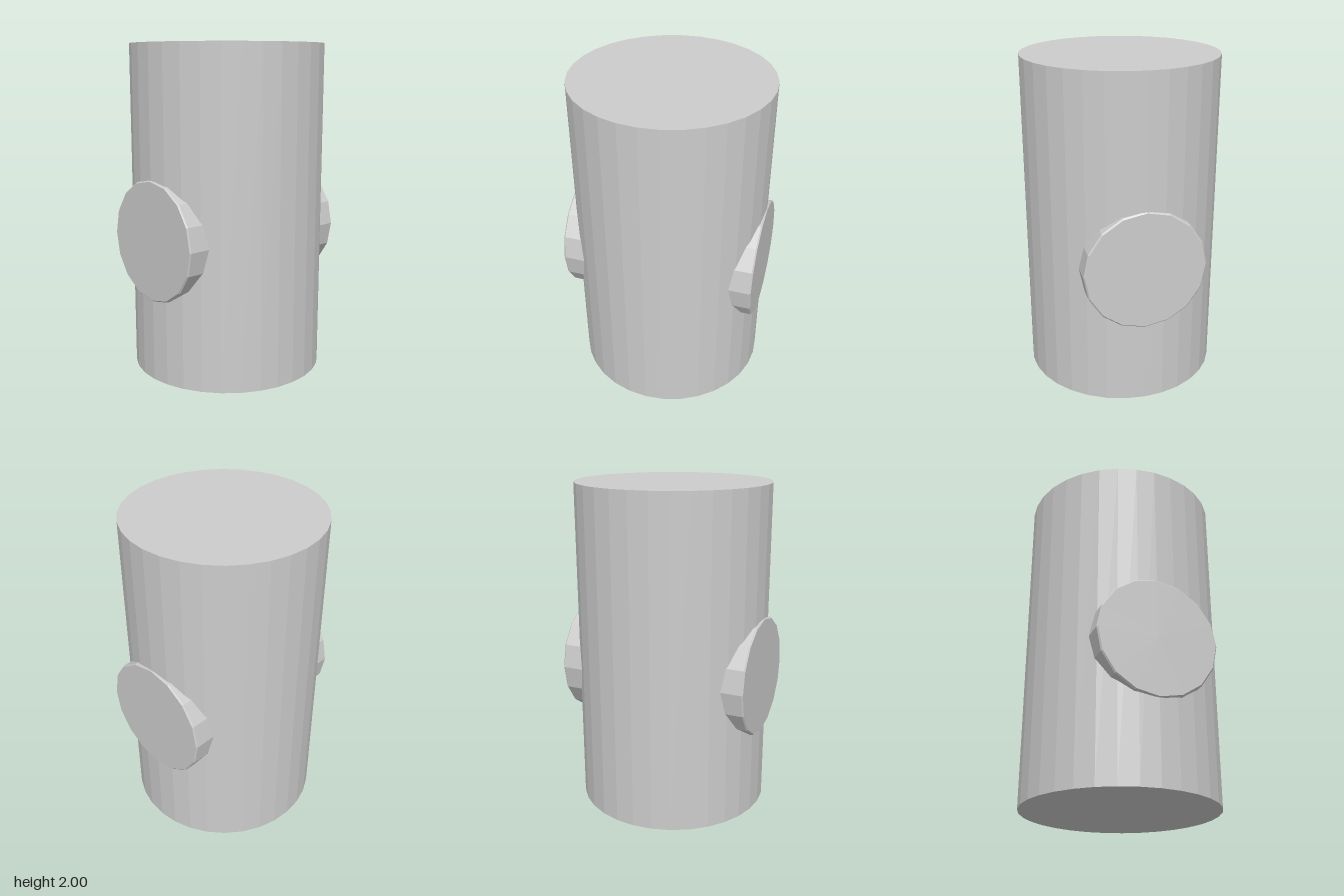
import * as THREE from 'three';

const HEIGHT = 2;
const RADIUS = 0.59;
const PIN_RADIUS = 0.365;
const PIN_Y = 0.857;
const PIN_END = 0.595; // half length of the cross pin
const BEVEL = 0.008;

export function createModel() {
  const group = new THREE.Group();
  group.name = 'cylinderWithCrossPin';
  const material = new THREE.MeshStandardMaterial({ color: 0xcccccc, flatShading: true });

  // Upright faceted body
  const body = new THREE.Mesh(new THREE.CylinderGeometry(RADIUS, RADIUS, HEIGHT, 32), material);
  body.name = 'body';
  body.position.y = HEIGHT / 2;
  group.add(body);

  // Cross pin running front to back, its rims slightly bevelled
  const profile = [
    [0, -PIN_END],
    [PIN_RADIUS - BEVEL, -PIN_END],
    [PIN_RADIUS, -PIN_END + BEVEL],
    [PIN_RADIUS, PIN_END - BEVEL],
    [PIN_RADIUS - BEVEL, PIN_END],
    [0, PIN_END],
  ].map(([r, y]) => new THREE.Vector2(r, y));
  const pin = new THREE.Mesh(new THREE.LatheGeometry(profile, 16), material);
  pin.name = 'crossPin';
  pin.rotation.x = Math.PI / 2;
  pin.position.y = PIN_Y;
  group.add(pin);

  return group;
}
